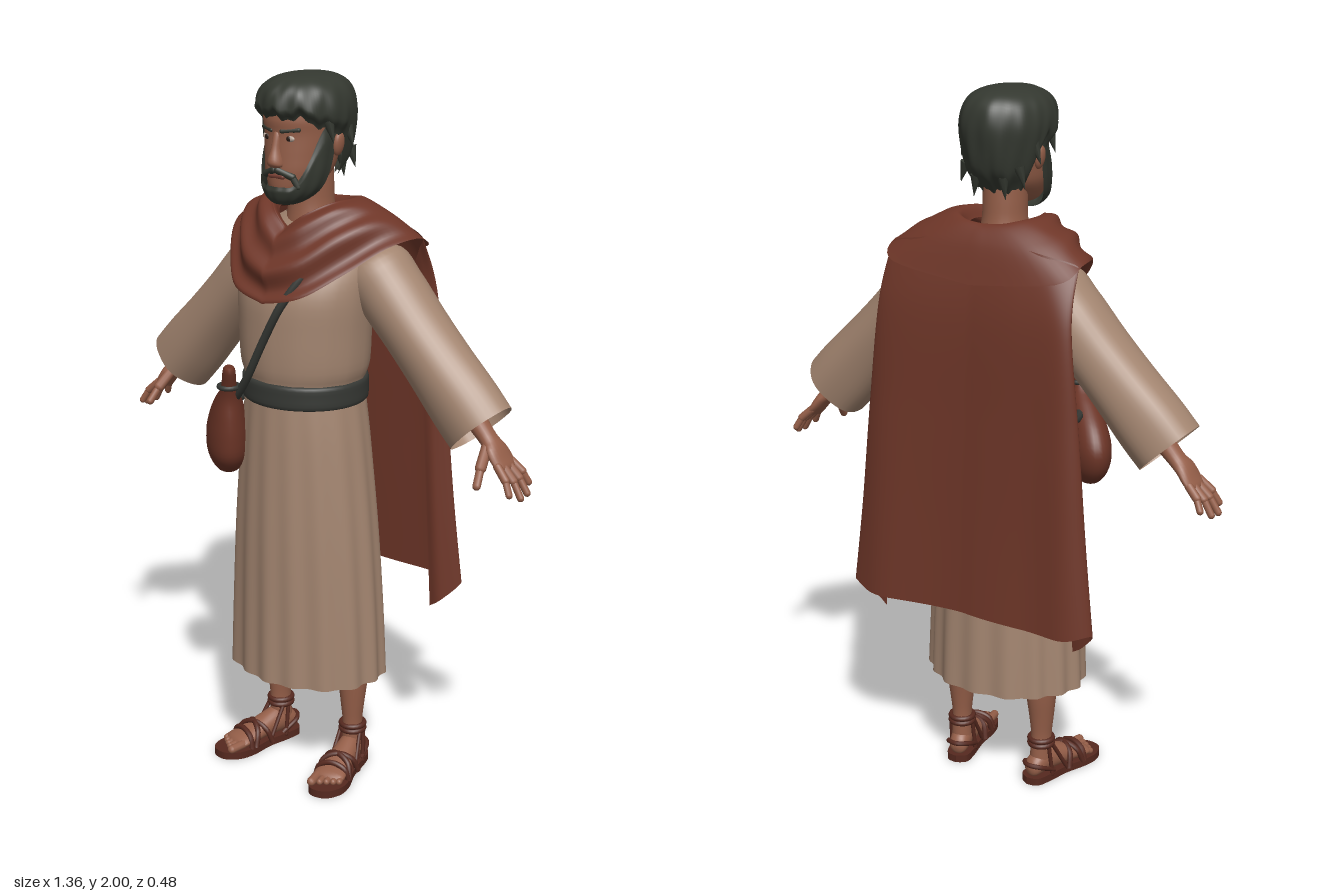
import * as THREE from 'three';
import { mergeVertices } from 'three/addons/utils/BufferGeometryUtils.js';
import { ParametricGeometry } from 'three/addons/geometries/ParametricGeometry.js';

const mat = (name, color) => {
  const m = new THREE.MeshStandardMaterial({ color, side: THREE.DoubleSide });
  m.name = name;
  return m;
};
const V = (p) => new THREE.Vector3(...p);
const smooth = THREE.MathUtils.smoothstep;

// Catmull-Rom interpolation of rows of numbers, t in 0..1
function sample(rows, t) {
  const n = rows.length, p = Math.min(Math.max(t, 0), 1) * (n - 1);
  const i = Math.min(Math.floor(p), n - 2), f = p - i;
  return rows[i].map((b, k) => {
    const a = rows[Math.max(i - 1, 0)][k], c = rows[i + 1][k], d = rows[Math.min(i + 2, n - 1)][k];
    return b + 0.5 * f * (c - a + f * (2 * a - 5 * b + 4 * c - d + f * (3 * (b - c) + d - a)));
  });
}
// Smooth surface through a grid of control points
const patch = (grid, u, v) => sample(grid.map((r) => sample(r, u)), v);

// Welded, smooth-shaded parametric surface
function surf(fn, nu, nv) {
  let g = new ParametricGeometry((u, v, out) => out.set(...fn(u, v)), nu, nv);
  g.deleteAttribute('uv');
  g.deleteAttribute('normal');
  g = mergeVertices(g, 1e-5);
  g.computeVertexNormals();
  return g;
}
// Elliptical rows [y, cx, cz, rx, rz], bottom to top
function loft(rows, nu = 32, nv = 24, mod = () => 1) {
  return surf((u, v) => {
    const a = (u * 2 - 1) * Math.PI, [y, cx, cz, rx, rz] = sample(rows, v), k = mod(a, v);
    return [cx + Math.max(rx, 0) * k * Math.sin(a), y, cz + Math.max(rz, 0) * k * Math.cos(a)];
  }, nu, nv);
}
function add(parent, name, geo, material, pos) {
  const m = new THREE.Mesh(geo, material);
  m.name = name;
  if (pos) m.position.set(...pos);
  parent.add(m);
  return m;
}
// Capsule between two points
function rod(parent, name, a, b, r, material) {
  const A = V(a), B = V(b), d = B.clone().sub(A);
  const m = add(parent, name, new THREE.CapsuleGeometry(r, d.length(), 5, 10), material);
  m.position.copy(A).add(B).multiplyScalar(0.5);
  m.quaternion.setFromUnitVectors(new THREE.Vector3(0, 1, 0), d.normalize());
  return m;
}
const tube = (pts, r, closed = false, n = 32) =>
  new THREE.TubeGeometry(new THREE.CatmullRomCurve3(pts.map(V), closed), n, r, 8, closed);
function blob(parent, name, pos, size, material) {
  const m = add(parent, name, new THREE.SphereGeometry(1, 18, 12), material, pos);
  m.scale.set(...size);
  return m;
}

export function createModel() {
  const skin = mat('skin', 0x945e48), robe = mat('robe cloth', 0xa38570), cloak = mat('cloak cloth', 0x6e3628);
  const hair = mat('hair', 0x343830), belt = mat('belt leather', 0x363834), bagLeather = mat('bag leather', 0x6b3426);
  const sandal = mat('sandal leather', 0x56291f), lip = mat('lips', 0x7c4236);
  const eyeWhite = mat('eye white', 0xb7a598), iris = mat('iris', 0x2a1b15);
  const root = new THREE.Group();
  root.name = 'robedMan';

  // Robe: pleated skirt and bloused torso
  add(root, 'skirt', loft([
    [0.305, 0, 0.018, 0.236, 0.188], [0.5, 0, 0.02, 0.228, 0.184], [0.75, 0, 0.024, 0.212, 0.178],
    [1.0, 0, 0.028, 0.188, 0.167], [1.14, 0, 0.03, 0.168, 0.158],
  ], 144, 24, (a, t) => 1 + (1 - t * 0.85) * (0.026 * Math.cos(16 * a + 0.5 * Math.sin(3 * a)) + 0.012 * Math.sin(7 * a + 1))), robe);
  add(root, 'torso', loft([
    [1.11, 0, 0.03, 0.165, 0.155], [1.17, 0, 0.03, 0.168, 0.157], [1.22, 0, 0.03, 0.183, 0.166],
    [1.32, 0, 0.03, 0.19, 0.167], [1.42, 0, 0.025, 0.197, 0.165], [1.5, 0, 0, 0.195, 0.15],
    [1.57, 0, -0.015, 0.16, 0.115], [1.62, 0, -0.01, 0.08, 0.07],
  ], 48, 28, (a, t) => 1 + 0.008 * Math.cos(14 * a) * (1 - t)), robe);
  add(root, 'belt', loft([
    [1.115, 0, 0.03, 0.164, 0.154], [1.12, 0, 0.03, 0.177, 0.167], [1.15, 0, 0.03, 0.178, 0.168],
    [1.178, 0, 0.03, 0.177, 0.167], [1.183, 0, 0.03, 0.164, 0.154],
  ], 48, 12), belt);

  // Arms, built along local -y and swung outward
  for (const s of [1, -1]) {
    const arm = new THREE.Group();
    arm.name = s > 0 ? 'leftArm' : 'rightArm';
    arm.position.set(0.19 * s, 1.47, -0.05);
    arm.rotation.z = 0.75 * s;
    root.add(arm);
    add(arm, 'sleeve', loft([
      [-0.5, 0, 0, 0.1, 0.088], [-0.42, 0, 0, 0.1, 0.09], [-0.3, 0, 0, 0.093, 0.092], [-0.18, 0, 0, 0.09, 0.095],
      [-0.06, 0, 0, 0.093, 0.098], [0.03, 0, 0, 0.085, 0.09], [0.09, 0, 0, 0, 0],
    ], 36, 28, (a, t) => 1 + 0.02 * (1 - t) * Math.sin(5 * a)), robe);
    add(arm, 'forearmAndPalm', loft([
      [-0.635, -0.004 * s, 0, 0, 0], [-0.625, -0.002 * s, 0, 0.012, 0.036], [-0.6, 0, 0, 0.016, 0.044],
      [-0.565, 0.003 * s, 0.002, 0.02, 0.04], [-0.53, 0, 0, 0.023, 0.028], [-0.46, 0, 0, 0.029, 0.032], [-0.34, 0, 0, 0.04, 0.042],
    ], 24, 24), skin);
    // Fingers: base z, tip z, tip distance
    for (const [z0, z1, y1] of [[0.034, 0.052, -0.69], [0.012, 0.018, -0.71], [-0.012, -0.018, -0.705], [-0.032, -0.051, -0.68]]) {
      const mid = [0.003 * s, (y1 - 0.61) / 2 - 0.003, (z0 + z1) / 2];
      rod(arm, 'finger', [0, -0.61, z0], mid, 0.0115, skin);
      rod(arm, 'fingertip', mid, [-0.006 * s, y1, z1], 0.0095, skin);
    }
    rod(arm, 'thumbBase', [-0.004 * s, -0.55, 0.02], [-0.025 * s, -0.59, 0.065], 0.015, skin);
    rod(arm, 'thumbTip', [-0.025 * s, -0.59, 0.065], [-0.045 * s, -0.625, 0.095], 0.011, skin);
  }

  // Legs, feet and sandals
  const soleShape = new THREE.Shape();
  soleShape.moveTo(0, -0.08);
  soleShape.splineThru([[0.03, -0.065], [0.038, -0.02], [0.04, 0.05], [0.054, 0.12], [0.05, 0.17], [0.02, 0.207],
    [-0.025, 0.207], [-0.05, 0.17], [-0.052, 0.12], [-0.04, 0.05], [-0.038, -0.02], [-0.03, -0.065], [0, -0.08]]
    .map((p) => new THREE.Vector2(...p)));
  const soleGeo = new THREE.ExtrudeGeometry(soleShape, { depth: 0.022, bevelEnabled: false, curveSegments: 40 });
  soleGeo.rotateX(Math.PI / 2).translate(0, 0.022, 0);
  const footGeo = loft([
    [-0.072, 0, -0.045, 0, 0], [-0.06, 0, -0.046, 0.025, 0.027], [-0.01, 0, -0.06, 0.032, 0.041],
    [0.05, 0, -0.052, 0.036, 0.034], [0.11, 0, -0.04, 0.044, 0.022], [0.15, 0, -0.034, 0.044, 0.015], [0.165, 0, -0.032, 0, 0],
  ], 24, 24).rotateX(Math.PI / 2);
  for (const s of [1, -1]) {
    const leg = new THREE.Group();
    leg.name = s > 0 ? 'leftLeg' : 'rightLeg';
    leg.position.set(0.14 * s, 0, 0);
    leg.rotation.y = 0.23 * s;
    root.add(leg);
    add(leg, 'shin', loft([[0.07, 0, -0.02, 0.03, 0.034], [0.14, 0, -0.018, 0.028, 0.032], [0.2, 0, -0.018, 0.034, 0.037],
      [0.28, 0, -0.02, 0.043, 0.045], [0.38, 0, -0.02, 0.047, 0.048], [0.55, 0, -0.01, 0.055, 0.055]], 24, 20), skin);
    add(leg, 'foot', footGeo, skin);
    add(leg, 'sole', soleGeo, sandal);
    [-0.032, -0.011, 0.006, 0.022, 0.036].forEach((x, i) => {
      rod(leg, 'toe', [x * s, 0.034, 0.14], [x * s * 1.05, 0.031, 0.186 - i * 0.008], i ? 0.0095 : 0.013, skin);
    });
    // Instep bands: z on the inner and outer edge, peak height
    for (const [z0, z1, h] of [[0.125, 0.115, 0.066], [0.11, 0.05, 0.076], [0.05, 0.11, 0.076]]) {
      const zm = (z0 + z1) / 2;
      add(leg, 'insideStrap', tube([[-0.05 * s, 0.018, z0], [-0.038 * s, h * 0.78, (z0 + zm) / 2], [0, h, zm],
        [0.038 * s, h * 0.78, (z1 + zm) / 2], [0.05 * s, 0.018, z1]], 0.008, false, 20), sandal);
    }
    for (const y of [0.115, 0.13]) {
      const ring = add(leg, 'ankleStrap', new THREE.TorusGeometry(0.033, 0.008, 8, 24), sandal, [0, y, -0.019]);
      ring.rotation.x = Math.PI / 2;
    }
    for (const x of [-1, 1]) {
      rod(leg, 'heelStrap', [0.037 * x, 0.02, -0.01], [0.033 * x, 0.115, -0.022], 0.006, sandal);
      rod(leg, 'sideStrap', [0.04 * x, 0.02, 0.05], [0.03 * x, 0.115, -0.005], 0.006, sandal);
    }
    add(leg, 'heelLoop', tube([[-0.037, 0.03, 0], [-0.03, 0.055, -0.055], [0, 0.06, -0.074], [0.03, 0.055, -0.055], [0.037, 0.03, 0]], 0.007), sandal);
  }

  // Cowl: rings from outer hem to neckline, half of each, front to back
  const cowlHem = [[0, 1.405, 0.205], [0.11, 1.432, 0.185], [0.195, 1.495, 0.105], [0.262, 1.558, 0.01],
    [0.292, 1.572, -0.09], [0.25, 1.53, -0.165], [0, 1.5, -0.18]];
  const cowlMid = [[0, 1.5, 0.195], [0.085, 1.535, 0.165], [0.155, 1.595, 0.095], [0.2, 1.628, 0.01],
    [0.21, 1.628, -0.075], [0.15, 1.61, -0.135], [0, 1.605, -0.148]];
  const cowlTop = [[0, 1.592, 0.125], [0.055, 1.632, 0.105], [0.105, 1.663, 0.05], [0.122, 1.668, -0.015],
    [0.105, 1.665, -0.075], [0.06, 1.655, -0.105], [0, 1.65, -0.11]];
  const cowlNeck = [[0, 1.58, 0.085], [0.045, 1.61, 0.075], [0.08, 1.63, 0.04], [0.09, 1.635, -0.01],
    [0.08, 1.63, -0.06], [0.05, 1.625, -0.08], [0, 1.62, -0.085]];
  add(root, 'cowl', surf((u, v) => {
    const s = Math.abs(2 * u - 1), [x, y, z] = patch([cowlHem, cowlMid, cowlTop, cowlNeck], s, v);
    const fold = 0.008 * Math.sin(v * 24 + 2 * u) * (1 - smooth(s, 0.35, 0.8)) * (1 - smooth(v, 0.6, 0.8));
    return [Math.sign(2 * u - 1) * x * (1 + fold * 2), y + fold * 0.3, z + fold];
  }, 72, 40), cloak);

  // Cape: half rows from centre back round the folded edge, hem to shoulders
  const capeRows = [
    [[0, 0.575, -0.222], [0.18, 0.57, -0.226], [0.31, 0.567, -0.228], [0.385, 0.582, -0.19], [0.345, 0.53, -0.158], [0.305, 0.5, -0.15]],
    [[0, 0.83, -0.208], [0.17, 0.83, -0.212], [0.295, 0.83, -0.214], [0.357, 0.83, -0.182], [0.322, 0.8, -0.155], [0.288, 0.78, -0.15]],
    [[0, 1.12, -0.195], [0.165, 1.12, -0.2], [0.28, 1.12, -0.2], [0.33, 1.12, -0.175], [0.3, 1.1, -0.155], [0.268, 1.09, -0.15]],
    [[0, 1.42, -0.18], [0.15, 1.42, -0.186], [0.255, 1.42, -0.182], [0.298, 1.42, -0.165], [0.275, 1.4, -0.152], [0.245, 1.38, -0.148]],
    [[0, 1.61, -0.14], [0.1, 1.61, -0.14], [0.2, 1.595, -0.135], [0.285, 1.572, -0.11], [0.27, 1.54, -0.12], [0.25, 1.5, -0.13]],
  ];
  add(root, 'cape', surf((u, v) => {
    const s = 1 - 2 * u, [x, y, z] = patch(capeRows, Math.abs(s), v);
    return [Math.sign(s) * x, y, z + 0.004 * Math.sin(s * 17) * (1 - v)];
  }, 72, 36), cloak);

  // Shoulder strap and hip bag
  add(root, 'strap', tube([[-0.14, 1.1, 0.17], [-0.07, 1.18, 0.2], [0, 1.31, 0.203], [0.053, 1.41, 0.193], [0.12, 1.53, 0.125],
    [0.14, 1.6, 0], [0.1, 1.5, -0.14], [-0.06, 1.28, -0.148], [-0.16, 1.14, -0.07], [-0.19, 1.09, 0.06]], 0.012, true, 80), belt);
  const bag = new THREE.Group();
  bag.name = 'bag';
  bag.position.set(-0.187, 1.01, 0.145);
  bag.rotation.y = -Math.PI / 4;
  root.add(bag);
  add(bag, 'pouch', loft([[-0.128, 0, 0, 0, 0], [-0.115, 0, 0, 0.055, 0.032], [-0.07, 0, 0, 0.098, 0.056], [-0.01, 0, 0, 0.108, 0.06],
    [0.05, 0.018, 0, 0.09, 0.05], [0.1, 0.05, 0, 0.055, 0.036], [0.14, 0.085, 0, 0.028, 0.022], [0.2, 0.105, 0, 0.028, 0.016], [0.205, 0.105, 0, 0, 0]], 32, 32), bagLeather);
  const tie = add(bag, 'bagTie', new THREE.TorusGeometry(0.027, 0.007, 8, 24), belt, [0.088, 0.145, 0]);
  tie.rotation.x = Math.PI / 2;

  // Neck and head
  add(root, 'neck', loft([[1.56, 0, 0, 0.08, 0.08], [1.64, 0, 0.003, 0.062, 0.066], [1.7, 0, 0.005, 0.06, 0.064], [1.78, 0, 0.01, 0.06, 0.065]], 28, 12), skin);
  const head = new THREE.Group();
  head.name = 'head';
  root.add(head);
  add(head, 'skull', loft([[1.67, 0, 0.1, 0, 0], [1.69, 0, 0.085, 0.05, 0.06], [1.74, 0, 0.055, 0.082, 0.098], [1.79, 0, 0.042, 0.091, 0.11],
    [1.845, 0, 0.035, 0.096, 0.115], [1.89, 0, 0.032, 0.098, 0.122], [1.94, 0, 0.028, 0.085, 0.105], [1.98, 0, 0.025, 0, 0]], 40, 36), skin);
  add(head, 'nose', loft([[1.757, 0, 0.147, 0, 0], [1.764, 0, 0.15, 0.02, 0.018], [1.778, 0, 0.15, 0.021, 0.026],
    [1.81, 0, 0.146, 0.013, 0.019], [1.85, 0, 0.14, 0.011, 0.013], [1.865, 0, 0.138, 0, 0]], 20, 20), skin);
  const beardRows = [[1.657, 0, 0.11, 0, 0], [1.665, 0, 0.105, 0.04, 0.042], [1.695, 0, 0.08, 0.078, 0.083],
    [1.74, 0, 0.06, 0.094, 0.105], [1.8, 0, 0.045, 0.099, 0.115], [1.87, 0, 0.036, 0.102, 0.119]];
  add(head, 'beard', surf((u, v) => {
    const a = (u * 2 - 1) * 1.7, top = 0.48 + 0.52 * smooth(Math.abs(a), 0.55, 1.45);
    const [y, cx, cz, rx, rz] = sample(beardRows, v * top);
    const k = (1 - 0.06 * smooth(v, 0.88, 1)) * (1 + 0.012 * Math.sin(15 * a));
    return [cx + rx * k * Math.sin(a), y, cz + rz * k * Math.cos(a)];
  }, 48, 24), hair);
  rod(head, 'lips', [-0.02, 1.738, 0.147], [0.02, 1.738, 0.147], 0.008, lip);
  for (const s of [1, -1]) {
    rod(head, 'moustache', [0.006 * s, 1.754, 0.151], [0.044 * s, 1.738, 0.137], 0.01, hair);
    rod(head, 'moustacheEnd', [0.044 * s, 1.738, 0.137], [0.058 * s, 1.712, 0.13], 0.009, hair);
    blob(head, 'eye', [0.037 * s, 1.837, 0.1385], [0.016, 0.008, 0.006], eyeWhite);
    blob(head, 'pupil', [0.036 * s, 1.837, 0.1425], [0.007, 0.007, 0.004], iris);
    rod(head, 'eyebrow', [0.017 * s, 1.856, 0.147], [0.058 * s, 1.86, 0.128], 0.006, hair);
    blob(head, 'ear', [0.1 * s, 1.815, 0.015], [0.012, 0.032, 0.02], skin).rotation.z = -0.15 * s;
  }

  // Hair: wavy cap with a ragged lower edge
  const hairRows = [[1.72, 0, 0.0, 0.08, 0.068], [1.78, 0, 0.01, 0.104, 0.113], [1.85, 0, 0.02, 0.121, 0.139],
    [1.91, 0, 0.024, 0.126, 0.147], [1.96, 0, 0.024, 0.108, 0.131], [1.988, 0, 0.022, 0.065, 0.085], [1.998, 0, 0.02, 0, 0]];
  add(head, 'hair', surf((u, v) => {
    const a = (u * 2 - 1) * Math.PI, b = Math.abs(a);
    const edge = 0.43 - 0.1 * smooth(b, 0.7, 1.3) - 0.29 * smooth(b, 1.55, 2.1) + 0.02 * Math.sin(11 * a + 1) + 0.012 * Math.sin(23 * a);
    const [y, cx, cz, rx, rz] = sample(hairRows, edge + (1 - edge) * v);
    const k = (0.88 + 0.12 * smooth(v, 0, 0.14)) * (1 + (1 - v) * (0.022 * Math.sin(9 * a + 6 * v) + 0.014 * Math.sin(17 * a - 8 * v)));
    return [cx + Math.max(rx, 0) * k * Math.sin(a), y, cz + Math.max(rz, 0) * k * Math.cos(a)];
  }, 112, 30), hair);
  // Loose locks at the temples and nape
  for (const [x, y, z, dx] of [[0.112, 1.85, 0.06, 0.012], [0.113, 1.83, -0.02, 0.014], [0.09, 1.77, -0.06, 0.012], [0.045, 1.74, -0.075, 0.005]]) {
    for (const s of [1, -1]) {
      const lock = add(head, 'lock', new THREE.ConeGeometry(0.016, 0.06, 8), hair, [s * x, y, z]);
      lock.rotation.z = Math.PI + s * dx * 25;
    }
  }
  return root;
}
